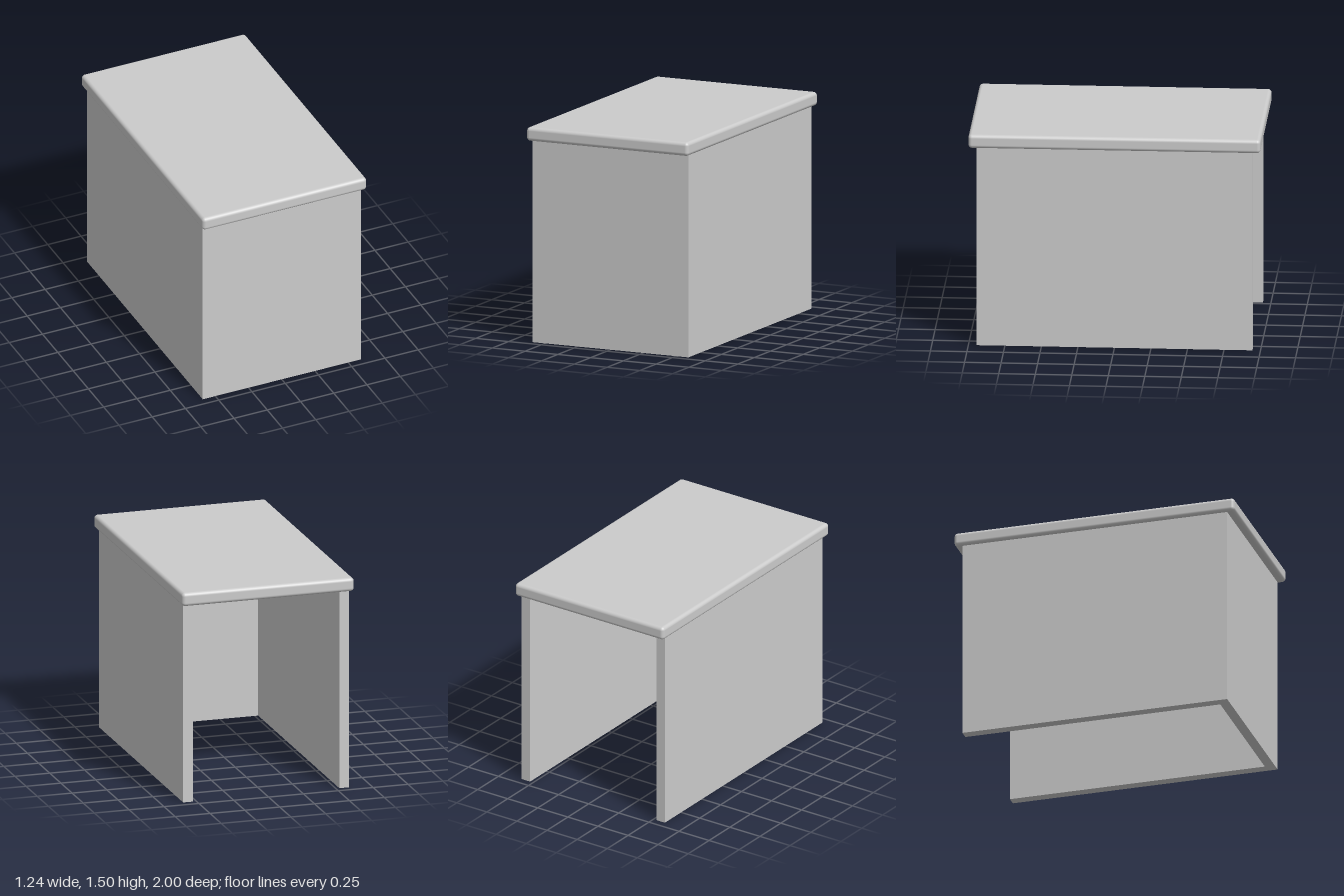
import * as THREE from 'three';
import { RoundedBoxGeometry } from 'three/addons/geometries/RoundedBoxGeometry.js';

const WIDTH = 1.19, DEPTH = 1.89, WALL = 0.07;
const WALL_HEIGHT = 1.41, TOP_THICKNESS = 0.095;

export function createModel() {
  const group = new THREE.Group();
  group.name = 'desk';
  const material = new THREE.MeshStandardMaterial({ color: 0xcccccc });

  const add = (name, geometry, x, y, z) => {
    const mesh = new THREE.Mesh(geometry, material);
    mesh.name = name;
    mesh.position.set(x, y, z);
    group.add(mesh);
  };

  // Overhanging top with softly rounded edges
  add('top', new RoundedBoxGeometry(1.235, TOP_THICKNESS, 2, 5, 0.025),
    0, WALL_HEIGHT + TOP_THICKNESS / 2, 0);

  // Side walls, running the full depth
  for (const side of [-1, 1]) {
    add(side > 0 ? 'leftWall' : 'rightWall', new THREE.BoxGeometry(WALL, WALL_HEIGHT, DEPTH),
      side * (WIDTH - WALL) / 2, WALL_HEIGHT / 2, 0);
  }

  // Front panel between the side walls; the back stays open
  add('frontPanel', new THREE.BoxGeometry(WIDTH - 2 * WALL, WALL_HEIGHT, WALL),
    0, WALL_HEIGHT / 2, (DEPTH - WALL) / 2);

  return group;
}
